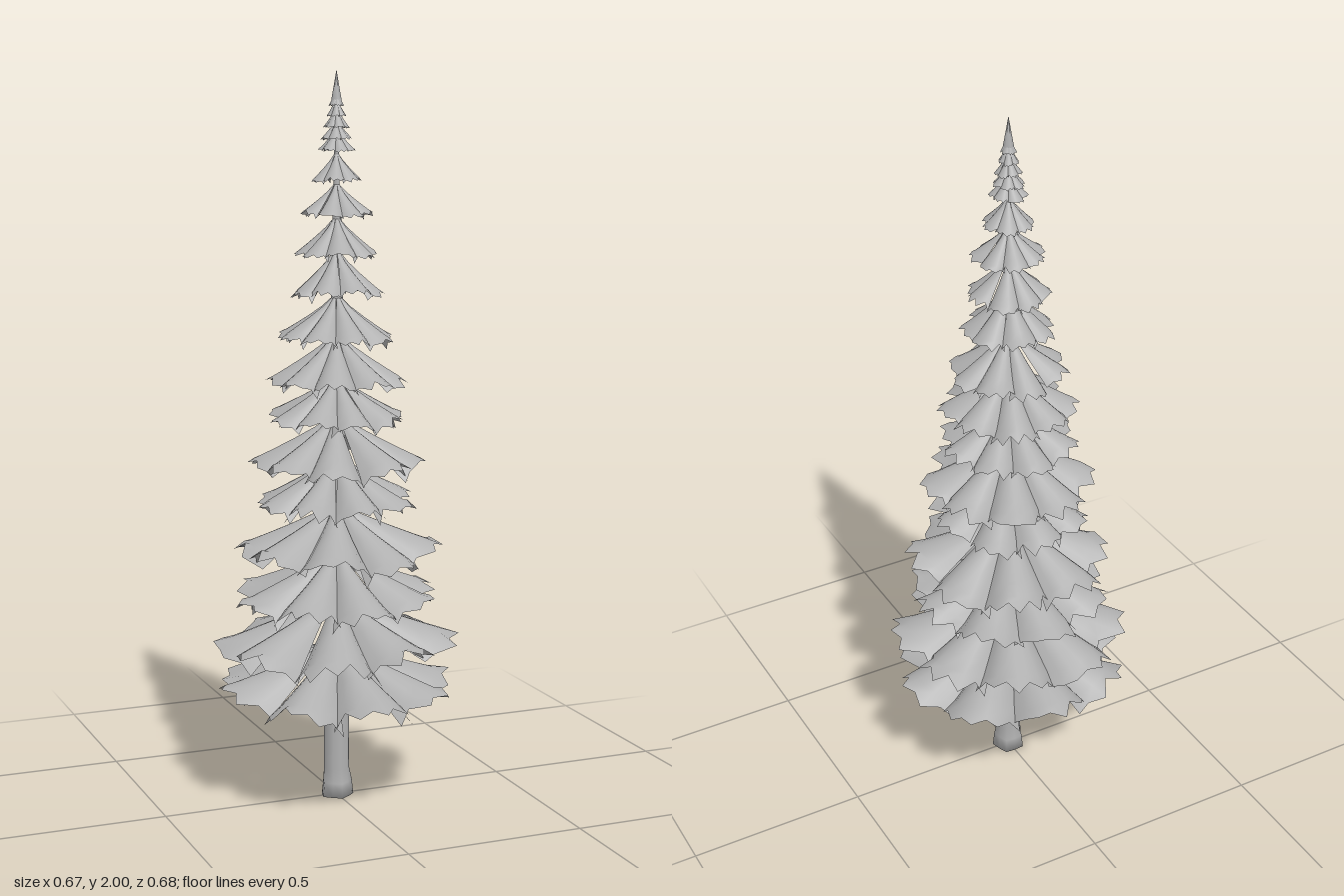
import * as THREE from 'three';
import { mergeGeometries } from 'three/addons/utils/BufferGeometryUtils.js';

// Small seeded generator returning values from -1 to 1
function seeded(seed) {
  let s = seed;
  return () => {
    s = (s * 16807) % 2147483647;
    return (s / 2147483647) * 2 - 1;
  };
}

// Each tier: height at the trunk, height at the tips, radius, number of fronds
const TIERS = [
  [0.44, 0.33, 0.335, 8],
  [0.575, 0.452, 0.335, 8],
  [0.70, 0.58, 0.285, 8],
  [0.83, 0.705, 0.288, 8],
  [0.96, 0.842, 0.225, 8],
  [1.075, 0.953, 0.243, 8],
  [1.18, 1.07, 0.193, 8],
  [1.295, 1.178, 0.193, 8],
  [1.40, 1.285, 0.167, 8],
  [1.52, 1.408, 0.13, 7],
  [1.61, 1.512, 0.117, 7],
  [1.70, 1.618, 0.1, 7],
  [1.78, 1.708, 0.072, 6],
  [1.84, 1.788, 0.052, 6],
  [1.865, 1.818, 0.043, 6],
  [1.895, 1.848, 0.036, 6],
  [1.92, 1.878, 0.028, 6],
  [1.945, 1.905, 0.021, 6],
];

const ROWS = [0, 0.2, 0.45, 0.7, 0.84, 1];
const COLS = 8;

// One arched, drooping fan-shaped frond with a toothed outer edge
function frondGeometry(angle, span, top, edge, radius, rand) {
  const positions = [];
  const indices = [];
  const lift = rand() * 0.05 * radius;
  const root = 0.022 * (1 - top / 2) + 0.003;
  const teeth = Array.from({ length: COLS + 1 }, (_, c) =>
    (c % 2 ? -0.08 : 0) + (c === COLS / 2 ? 0 : rand() * 0.045));
  ROWS.forEach((t, r) => {
    const outer = r === ROWS.length - 1 ? 1 : 0;
    for (let c = 0; c <= COLS; c++) {
      const v = (c / COLS) * 2 - 1;
      const reach = t * (1 - 0.22 * v * v) + outer * teeth[c];
      const a = angle + v * span * (0.95 + 0.17 * t);
      const dist = root + (radius - root) * reach;
      const drop = (top - edge) * Math.pow(reach, 0.85);
      const fold = 0.25 * radius * v * v * t;
      positions.push(
        Math.sin(a) * dist,
        top - drop - fold + lift * t + outer * rand() * 0.03 * radius,
        Math.cos(a) * dist
      );
    }
  });
  const w = COLS + 1;
  for (let r = 0; r < ROWS.length - 1; r++) {
    for (let c = 0; c < COLS; c++) {
      const i = r * w + c;
      indices.push(i, i + w, i + 1, i + 1, i + w, i + w + 1);
    }
  }
  const g = new THREE.BufferGeometry();
  g.setAttribute('position', new THREE.Float32BufferAttribute(positions, 3));
  g.setIndex(indices);
  g.computeVertexNormals();
  return g;
}

export function createModel() {
  const tree = new THREE.Group();
  tree.name = 'coniferTree';
  const grey = new THREE.MeshStandardMaterial({ color: 0xb0b0b0, side: THREE.DoubleSide });
  grey.name = 'plain grey';
  const rand = seeded(4217);

  // Tapering trunk with a flared, slightly uneven foot
  const profile = [[0, 0], [0.044, 0], [0.04, 0.04], [0.035, 0.08], [0.034, 0.35],
    [0.026, 0.9], [0.015, 1.4], [0.006, 1.8], [0.002, 1.93]];
  const trunkGeometry = new THREE.LatheGeometry(
    profile.map(([x, y]) => new THREE.Vector2(x, y)), 10);
  const p = trunkGeometry.attributes.position;
  for (let i = 0; i < p.count; i++) {
    const flare = 1 + 0.08 * Math.sin(Math.atan2(p.getZ(i), p.getX(i)) * 5);
    if (p.getY(i) < 0.06) p.setXYZ(i, p.getX(i) * flare, p.getY(i), p.getZ(i) * flare);
  }
  const trunk = new THREE.Mesh(trunkGeometry, grey);
  trunk.name = 'trunk';
  tree.add(trunk);

  // Rings of overlapping fronds, each turned against the one below
  TIERS.forEach(([top, edge, radius, count], k) => {
    const fronds = [];
    for (let i = 0; i < count; i++) {
      const angle = ((i + (k % 2) * 0.5) / count) * Math.PI * 2 + Math.PI / 2 + rand() * 0.05;
      const reach = radius * (1 + rand() * 0.02);
      fronds.push(frondGeometry(angle, Math.PI / count, top, edge, reach, rand));
    }
    const tier = new THREE.Mesh(mergeGeometries(fronds), grey);
    tier.name = 'branchTier' + (k + 1);
    tree.add(tier);
  });

  // Pointed leader at the top
  const leader = new THREE.Mesh(new THREE.ConeGeometry(0.014, 0.08, 6, 1, true), grey);
  leader.name = 'leader';
  leader.position.y = 1.96;
  tree.add(leader);

  return tree;
}
